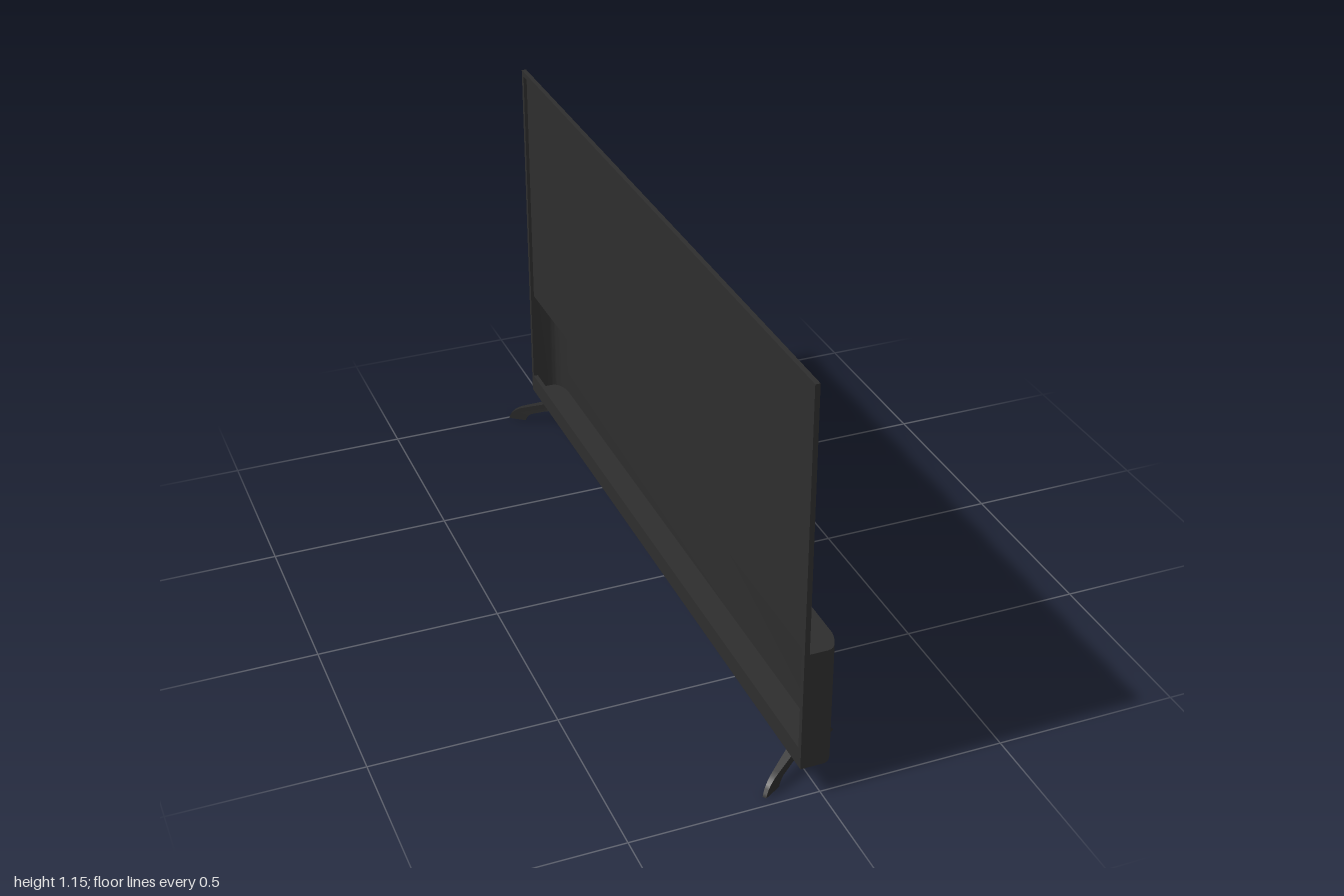
import * as THREE from 'three';
import { toCreasedNormals } from 'three/addons/utils/BufferGeometryUtils.js';

const FRONT = -0.055, PANEL = -0.042, BACK = 0.045;
const BASE = 0.085, SHELF = 0.422, TOP = 1.15, WALL = 0.004;

// Half plan of the housing with its rounded end, mirrored into a full open outline
function outline(inset) {
  const end = 1 - inset, back = BACK - inset;
  const curve = new THREE.QuadraticBezierCurve(
    new THREE.Vector2(0.005, end), new THREE.Vector2(0.033, end), new THREE.Vector2(back, 0.94));
  const half = [new THREE.Vector2(FRONT, end), ...curve.getPoints(8)];
  return [...half, ...half.map(p => new THREE.Vector2(p.x, -p.y)).reverse()];
}

// Plan shape raised vertically from y
function raise(points, height, y) {
  const g = new THREE.ExtrudeGeometry(new THREE.Shape(points), { depth: height, bevelEnabled: false });
  g.rotateX(-Math.PI / 2).translate(0, y, 0);
  return toCreasedNormals(g, 0.5);
}

function footGeometry() {
  const s = new THREE.Shape();
  s.moveTo(-0.163, 0);
  s.quadraticCurveTo(-0.155, 0.033, -0.11, 0.046);
  s.lineTo(-0.03, 0.072);
  s.lineTo(-0.038, 0.088);
  s.lineTo(0.024, 0.088);
  s.lineTo(0.024, 0.076);
  s.lineTo(0.118, 0.038);
  s.quadraticCurveTo(0.14, 0.026, 0.158, 0);
  s.lineTo(0.136, 0.002);
  s.quadraticCurveTo(0.09, 0.025, 0.04, 0.044);
  s.quadraticCurveTo(0, 0.052, -0.04, 0.043);
  s.lineTo(-0.09, 0.025);
  s.quadraticCurveTo(-0.104, 0.016, -0.108, 0);
  const g = new THREE.ExtrudeGeometry(s, { depth: 0.028, bevelEnabled: false, curveSegments: 6 });
  g.translate(0, 0, -0.014);
  // Blade thins toward both tips
  const p = g.attributes.position;
  for (let i = 0; i < p.count; i++) p.setZ(i, p.getZ(i) * (1 - 3.8 * Math.abs(p.getX(i))));
  return toCreasedNormals(g, 0.5);
}

export function createModel() {
  const model = new THREE.Group();
  model.name = 'television';
  const body = new THREE.MeshStandardMaterial({ color: 0x2d2d2d });
  body.name = 'charcoal plastic';
  const dark = new THREE.MeshStandardMaterial({ color: 0x292929 });
  dark.name = 'dark foot plastic';
  const add = (name, geometry, material = body) => {
    const m = new THREE.Mesh(geometry, material);
    m.name = name;
    model.add(m);
    return m;
  };

  // Thin upper back panel
  add('backPanel', new THREE.BoxGeometry(WALL, TOP - SHELF, 2)
    .translate(PANEL - WALL / 2, (TOP + SHELF) / 2, 0));

  // Frame around the open screen side, with a deeper lower lip
  const rim = new THREE.Shape([[-1, BASE], [1, BASE], [1, TOP], [-1, TOP]].map(p => new THREE.Vector2(...p)));
  rim.holes.push(new THREE.Path([[-0.985, BASE + 0.055], [-0.985, TOP - 0.015], [0.985, TOP - 0.015], [0.985, BASE + 0.055]]
    .map(p => new THREE.Vector2(...p))));
  add('screenFrame', new THREE.ExtrudeGeometry(rim, { depth: PANEL - FRONT, bevelEnabled: false })
    .rotateY(Math.PI / 2).translate(FRONT, 0, 0));

  // Hollow lower housing: wall, floor and shelf
  add('housingWall', raise([...outline(0), ...outline(WALL).reverse()], SHELF - BASE, BASE));
  add('housingFloor', raise(outline(0.0005), WALL, BASE));
  const shelf = outline(0.0005).map(p => new THREE.Vector2(Math.max(p.x, PANEL - WALL), p.y));
  add('housingShelf', raise(shelf, WALL, SHELF - WALL + 0.0005));

  // Splayed feet
  const foot = footGeometry();
  for (const [name, z, turn] of [['leftFoot', 0.88, 0.597], ['rightFoot', -0.908, -0.597]]) {
    const m = add(name, foot, dark);
    m.position.z = z;
    m.rotation.y = turn;
  }
  return model;
}
